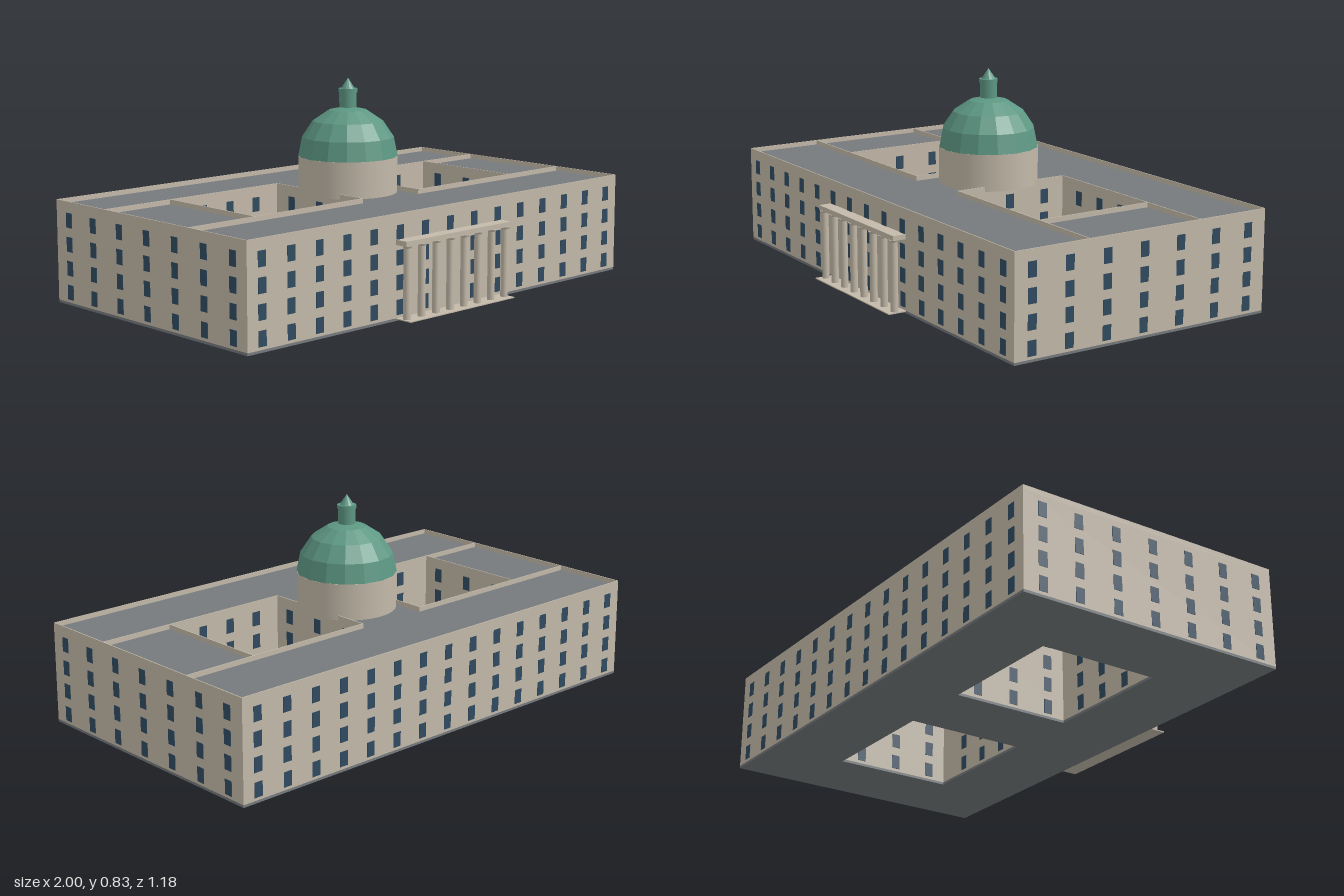
import * as THREE from 'three';
import { mergeGeometries } from 'three/addons/utils/BufferGeometryUtils.js';

const paint = (name, color, extra = {}) => {
  const m = new THREE.MeshStandardMaterial({ color, ...extra });
  m.name = name;
  return m;
};

// Plan sizes
const BACK = -0.592, FRONT = 0.516, YARD_BACK = -0.287, YARD_FRONT = 0.2;
const YARD_IN = 0.155, YARD_OUT = 0.69;
const BASE = 0.01, ROOF = 0.381, TOP = 0.4, STOREY = 0.0927;
const DOME_Z = -0.037;

export function createModel() {
  const stone = paint('stone', 0xc3b9a9);
  const slate = paint('slate', 0x757a7d);
  const glass = paint('glass', 0x304b60);
  const copper = paint('copper', 0x5d9783);
  const copperFaceted = paint('copperFaceted', 0x5d9783, { flatShading: true });

  const model = new THREE.Group();
  const add = (name, geometry, material, parent = model) => {
    const mesh = new THREE.Mesh(geometry, material);
    mesh.name = name;
    parent.add(mesh);
    return mesh;
  };

  // Plan rectangles, extruded upwards
  const rect = (Type, x0, x1, z0, z1) => new Type([
    new THREE.Vector2(x0, -z1), new THREE.Vector2(x1, -z1),
    new THREE.Vector2(x1, -z0), new THREE.Vector2(x0, -z0),
  ]);
  const rise = (shape, y0, y1) => new THREE.ExtrudeGeometry(shape, { depth: y1 - y0, bevelEnabled: false })
    .rotateX(-Math.PI / 2).translate(0, y0, 0);
  const box = (x0, x1, y0, y1, z0, z1) => new THREE.BoxGeometry(x1 - x0, y1 - y0, z1 - z0)
    .translate((x0 + x1) / 2, (y0 + y1) / 2, (z0 + z1) / 2);
  const yards = [[YARD_IN, YARD_OUT], [-YARD_OUT, -YARD_IN]];

  // Main block around two courtyards
  const plan = rect(THREE.Shape, -1, 1, BACK, FRONT);
  yards.forEach(([a, b]) => plan.holes.push(rect(THREE.Path, a, b, YARD_BACK, YARD_FRONT)));
  add('base', rise(plan, 0, BASE), slate);
  add('wallsAndRoof', rise(plan, BASE, ROOF), [slate, stone]);

  // Thin parapets round the roof, the courtyards and between the wings
  const rim = (x0, x1, z0, z1, t) => {
    const s = rect(THREE.Shape, x0, x1, z0, z1);
    s.holes.push(rect(THREE.Path, x0 + t, x1 - t, z0 + t, z1 - t));
    return rise(s, ROOF, TOP);
  };
  const T = 0.004;
  add('outerParapet', rim(-1, 1, BACK, FRONT, T), stone);
  yards.forEach(([a, b]) => {
    const s = rect(THREE.Shape, a - T, b + T, YARD_BACK - T, YARD_FRONT + T);
    s.holes.push(rect(THREE.Path, a, b, YARD_BACK, YARD_FRONT));
    add('courtyardParapet', rise(s, ROOF, TOP), stone);
  });
  for (const z of [YARD_BACK - T, YARD_FRONT]) {
    add('wingParapet', box(YARD_OUT + T, 1 - T, ROOF, TOP, z, z + T), stone);
    add('wingParapet', box(T - 1, -YARD_OUT - T, ROOF, TOP, z, z + T), stone);
  }

  // Windows: four rows of thin plates on every wall
  const W = 0.036, H = 0.057, D = 0.003;
  const panes = [];
  const windowsX = (xs, z) => xs.forEach((x) => {
    for (let i = 0; i < 4; i++)
      panes.push(new THREE.BoxGeometry(W, H, D).translate(x, 0.05 + i * STOREY, z));
  });
  const windowsZ = (zs, x) => zs.forEach((z) => {
    for (let i = 0; i < 4; i++)
      panes.push(new THREE.BoxGeometry(D, H, W).translate(x, 0.05 + i * STOREY, z));
  });
  const longRow = Array.from({ length: 15 }, (_, i) => (i - 7) * 0.1333);
  const yardRow = longRow.filter((x) => Math.abs(x) > 0.2 && Math.abs(x) < 0.6);
  const wingRow = [0.126, -0.036, -0.198];
  const sideRow = [0.443, 0.287, ...wingRow, -0.36, -0.512];
  windowsX(longRow, FRONT);
  windowsX(longRow, BACK);
  windowsX(yardRow, YARD_FRONT);
  windowsX(yardRow, YARD_BACK);
  for (const s of [-1, 1]) {
    windowsZ(sideRow, s);
    windowsZ(wingRow, s * YARD_OUT);
    windowsZ(wingRow, s * YARD_IN);
  }
  add('windows', mergeGeometries(panes), glass);

  // Portico: eight columns carrying a beam over a thin step
  const portico = new THREE.Group();
  portico.name = 'portico';
  model.add(portico);
  add('step', box(-0.287, 0.287, 0.006, BASE, FRONT, 0.59), stone, portico);
  add('beam', box(-0.287, 0.287, 0.284, 0.303, FRONT, 0.568), stone, portico);
  for (let i = 0; i < 8; i++) {
    const x = (i - 3.5) * 0.0765;
    add('column', new THREE.CylinderGeometry(0.0145, 0.0145, 0.27, 16).translate(x, 0.145, 0.554), stone, portico);
    add('capital', new THREE.CylinderGeometry(0.019, 0.0155, 0.008, 16).translate(x, 0.28, 0.555), stone, portico);
  }

  // Drum, faceted dome and lantern
  const tower = new THREE.Group();
  tower.name = 'domeTower';
  tower.position.z = DOME_Z;
  model.add(tower);
  add('drum', new THREE.CylinderGeometry(0.195, 0.195, 0.525 - ROOF, 32).translate(0, (0.525 + ROOF) / 2, 0), stone, tower);
  add('dome', new THREE.SphereGeometry(0.196, 16, 4, 0, Math.PI * 2, 0, Math.PI / 2).translate(0, 0.525, 0), copperFaceted, tower);
  add('lantern', new THREE.CylinderGeometry(0.034, 0.034, 0.07, 16).translate(0, 0.752, 0), copper, tower);
  add('lanternRim', new THREE.CylinderGeometry(0.037, 0.037, 0.015, 16).translate(0, 0.783, 0), copper, tower);
  add('spire', new THREE.ConeGeometry(0.028, 0.042, 12).translate(0, 0.811, 0), copperFaceted, tower);

  return model;
}
